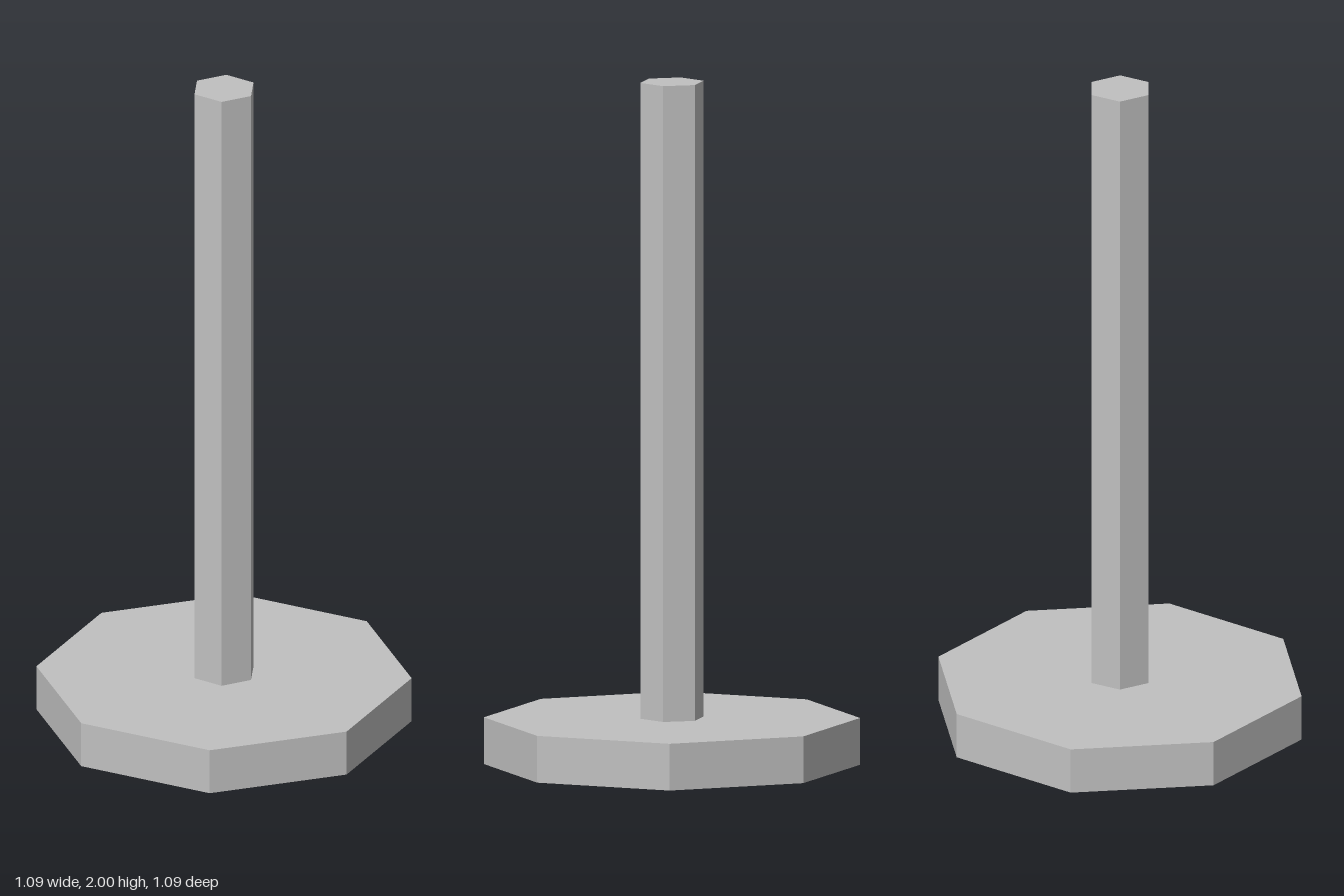
import * as THREE from 'three';

export function createModel() {
  const model = new THREE.Group();
  model.name = 'poleStand';
  const grey = new THREE.MeshStandardMaterial({ color: 0xc0c0c0, flatShading: true });
  grey.name = 'light grey';

  // Upright prism with a corner facing the front
  function prism(name, radius, sides, bottom, top) {
    const mesh = new THREE.Mesh(new THREE.CylinderGeometry(radius, radius, top - bottom, sides), grey);
    mesh.name = name;
    mesh.position.y = (bottom + top) / 2;
    model.add(mesh);
  }

  prism('base', 0.546, 8, 0, 0.137); // octagonal foot
  prism('pole', 0.095, 6, 0.137, 2); // hexagonal post
  return model;
}
